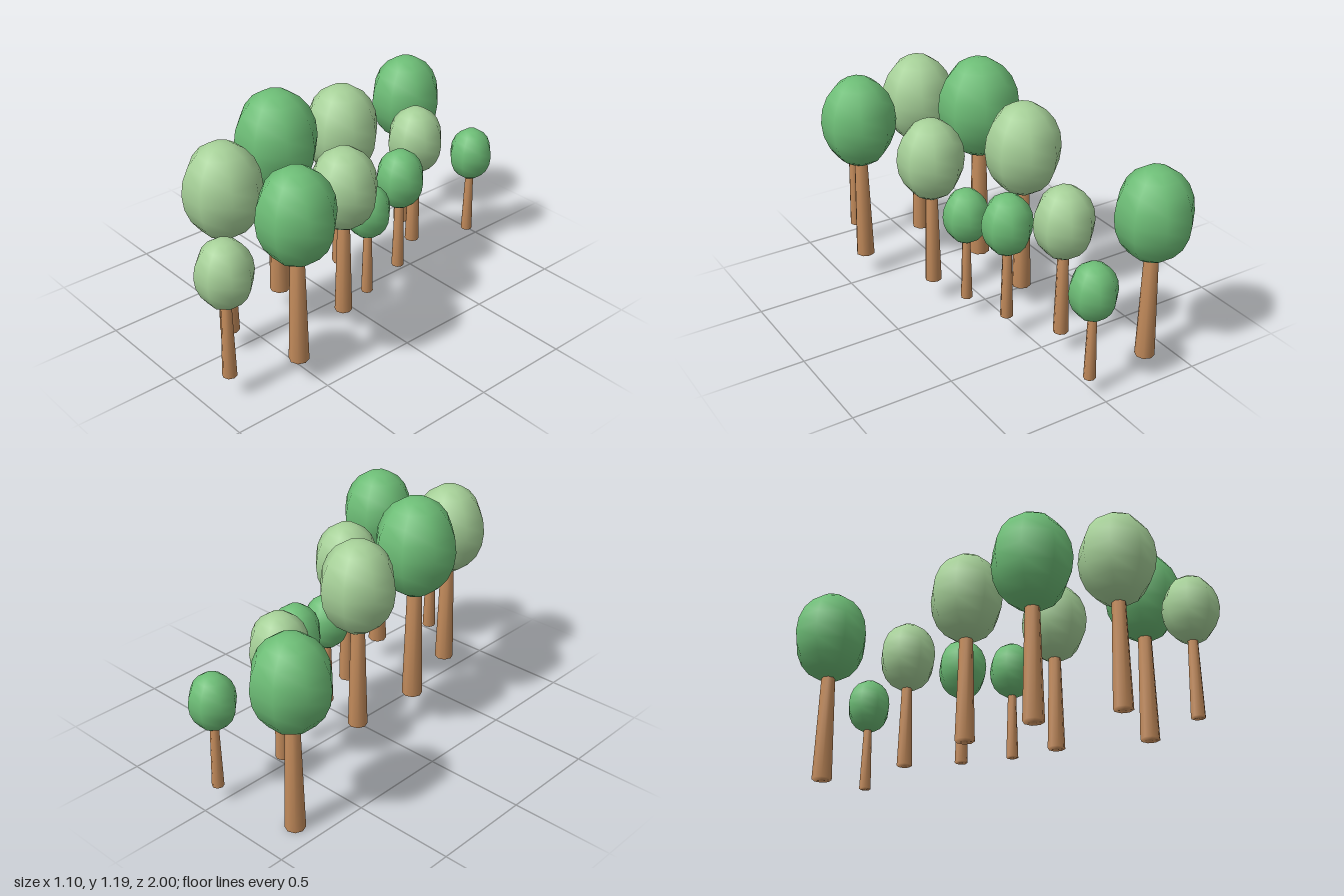
import * as THREE from 'three';
import { mergeVertices } from 'three/addons/utils/BufferGeometryUtils.js';

const SIDES = 8;
const bark = new THREE.MeshStandardMaterial({ color: 0xc48c5c });
const darkLeaf = new THREE.MeshStandardMaterial({ color: 0x6dbd76 });
const lightLeaf = new THREE.MeshStandardMaterial({ color: 0xa6d098 });

// x, z, crown half width, crown bottom, crown top, ground height, leaf
const TREES = [
  [-0.38, -0.8, 0.172, 0.515, 0.98, 0, darkLeaf],
  [0.02, -0.9, 0.104, 0.39, 0.672, 0.08, darkLeaf],
  [-0.06, -0.565, 0.133, 0.51, 0.87, 0.11, lightLeaf],
  [0.085, -0.325, 0.114, 0.455, 0.765, 0.115, darkLeaf],
  [-0.13, -0.13, 0.171, 0.63, 1.095, 0.117, lightLeaf],
  [0.145, -0.06, 0.104, 0.412, 0.692, 0.1, darkLeaf],
  [0.21, 0.152, 0.152, 0.575, 0.985, 0.117, lightLeaf],
  [-0.134, 0.268, 0.187, 0.678, 1.185, 0.117, darkLeaf],
  [0.377, 0.565, 0.171, 0.63, 1.095, 0.117, darkLeaf],
  [-0.014, 0.665, 0.171, 0.63, 1.095, 0.117, lightLeaf],
  [0.27, 0.876, 0.124, 0.485, 0.82, 0.117, lightLeaf],
];

// Trunk normals are shared with the caps, so the ends shade softly
function smoothTrunk(rTop, rBottom, height) {
  const g = new THREE.CylinderGeometry(rTop, rBottom, height, SIDES);
  g.deleteAttribute('normal');
  g.deleteAttribute('uv');
  const merged = mergeVertices(g, 1e-5);
  merged.computeVertexNormals();
  return merged;
}

function makeTree([x, z, r, low, high, ground, leaf]) {
  const tree = new THREE.Group();
  tree.name = 'tree';
  tree.position.set(x, ground, z);

  // Tapered trunk, ending a little inside the crown
  const height = low - ground + r * 0.3;
  const trunk = new THREE.Mesh(smoothTrunk(r * 0.19, r * 0.278, height), bark);
  trunk.name = 'trunk';
  trunk.position.y = height / 2;

  // Eight-sided egg crown with flat sides facing the axes
  const wide = r / Math.cos(Math.PI / SIDES);
  const shape = new THREE.SphereGeometry(1, SIDES, 10);
  shape.rotateY(Math.PI / SIDES);
  shape.scale(wide, (high - low) / 2, wide);
  const crown = new THREE.Mesh(shape, leaf);
  crown.name = 'crown';
  crown.position.y = (low + high) / 2 - ground;

  tree.add(trunk, crown);
  return tree;
}

export function createModel() {
  const grove = new THREE.Group();
  grove.name = 'grove';
  TREES.forEach((t) => grove.add(makeTree(t)));
  return grove;
}
